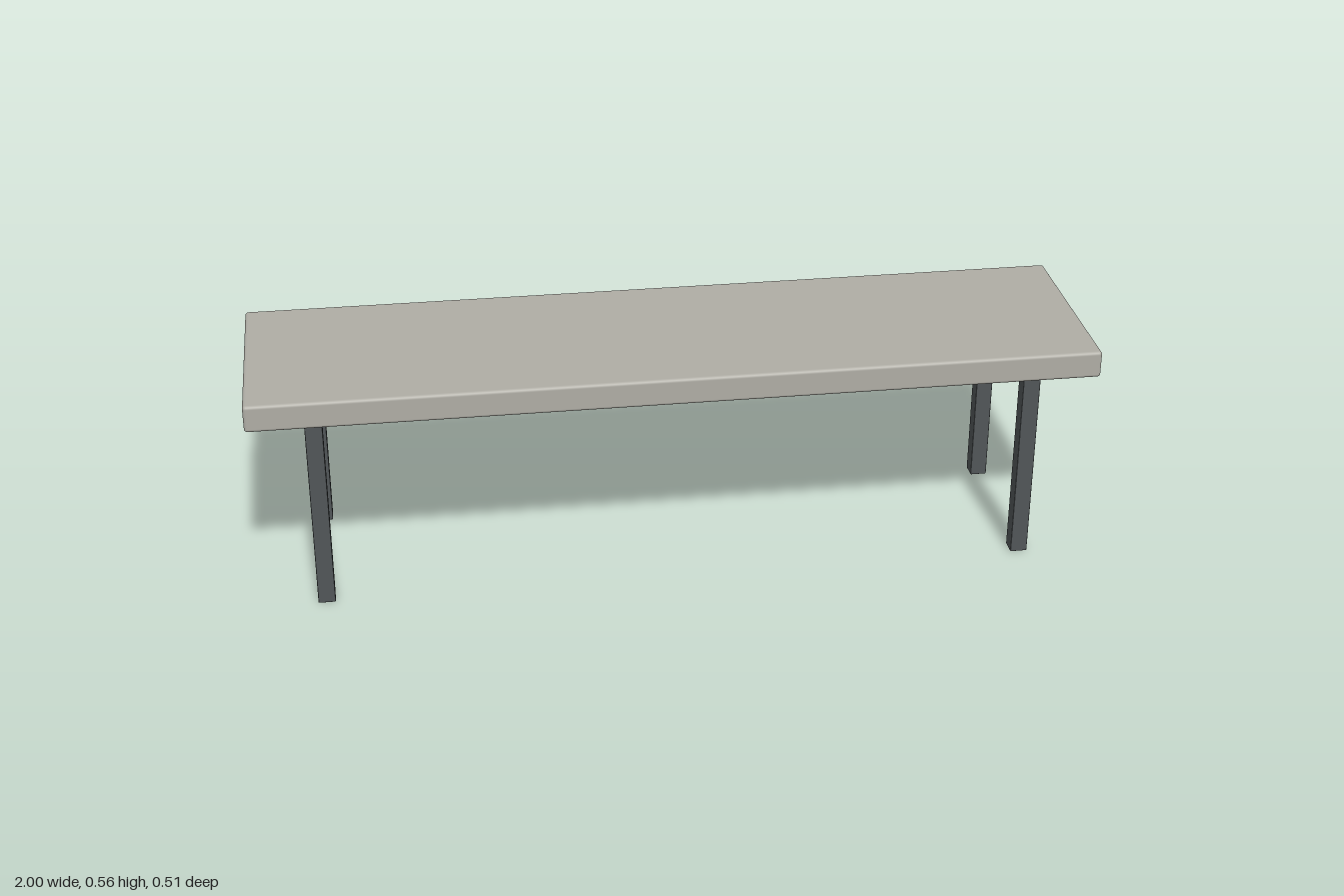
import * as THREE from 'three';
import { RoundedBoxGeometry } from 'three/addons/geometries/RoundedBoxGeometry.js';

export function createModel() {
  const group = new THREE.Group();
  group.name = 'bench';

  const stone = new THREE.MeshStandardMaterial({ color: 0xafada5 });
  stone.name = 'warm grey stone';
  const metal = new THREE.MeshStandardMaterial({ color: 0x515658 });
  metal.name = 'dark grey metal';

  // Long slab with softly rounded edges
  const slabBottom = 0.489, slabTop = 0.555;
  const slab = new THREE.Mesh(
    new RoundedBoxGeometry(2, slabTop - slabBottom, 0.508, 4, 0.008), stone);
  slab.name = 'seat';
  slab.position.y = (slabBottom + slabTop) / 2;
  group.add(slab);

  // Four square legs, slightly eased edges, tucked just into the slab
  const legHeight = 0.494;
  const legGeometry = new RoundedBoxGeometry(0.041, legHeight, 0.041, 2, 0.002);
  for (const [end, x] of [['Left', 0.846], ['Right', -0.846]]) {
    for (const [side, z] of [['front', 0.195], ['back', -0.195]]) {
      const leg = new THREE.Mesh(legGeometry, metal);
      leg.name = `${side}${end}Leg`;
      leg.position.set(x, legHeight / 2, z);
      group.add(leg);
    }
  }

  return group;
}
